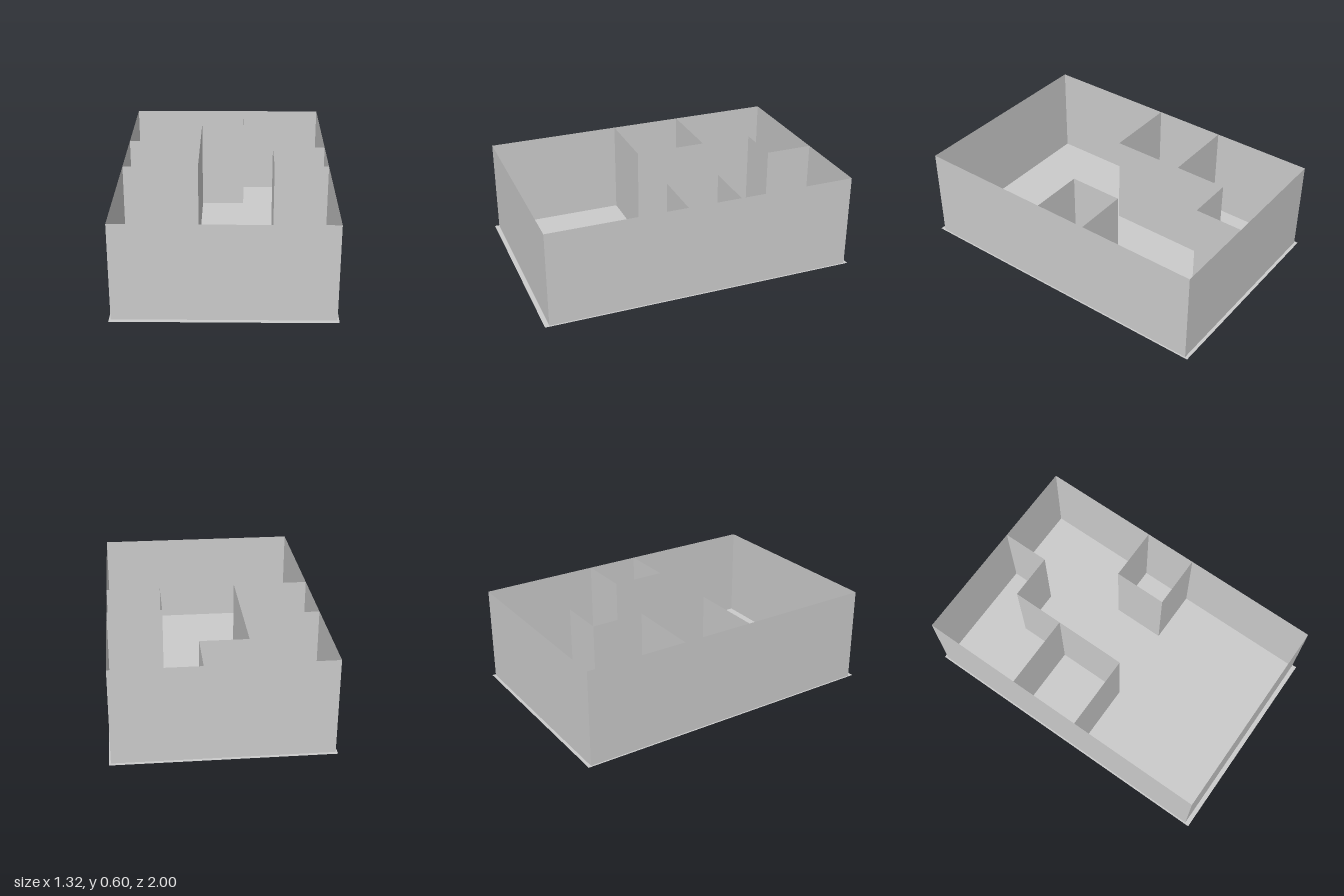
import * as THREE from 'three';

const HEIGHT = 0.603;
const material = new THREE.MeshStandardMaterial({ color: 0xcccccc, side: THREE.DoubleSide, flatShading: true });

// Thin upright panels that follow a list of [x, z] plan points.
function wallRun(name, points) {
  const run = new THREE.Group();
  run.name = name;
  for (let i = 0; i < points.length - 1; i++) {
    const [x1, z1] = points[i];
    const [x2, z2] = points[i + 1];
    const panel = new THREE.Mesh(new THREE.PlaneGeometry(Math.hypot(x2 - x1, z2 - z1), HEIGHT), material);
    panel.name = `${name}Panel${i + 1}`;
    panel.position.set((x1 + x2) / 2, HEIGHT / 2, (z1 + z2) / 2);
    panel.rotation.y = -Math.atan2(z2 - z1, x2 - x1);
    run.add(panel);
  }
  return run;
}

export function createModel() {
  const model = new THREE.Group();
  model.name = 'floorPlan';

  // Floor slab, slightly wider than the walls
  const floor = new THREE.Mesh(new THREE.PlaneGeometry(1.32, 2), material);
  floor.name = 'floor';
  floor.rotation.x = -Math.PI / 2;
  model.add(floor);

  const side = 0.65, front = 0.972, back = -0.98;

  // Outer shell
  model.add(wallRun('outerWall', [[-side, front], [side, front], [side, back], [-side, back], [-side, front]]));

  // Stepped partition from the -x side to the back wall
  model.add(wallRun('steppedPartition', [
    [-side, 0.12], [-0.175, 0.12], [-0.175, -0.675], [0.118, -0.675], [0.118, back],
  ]));

  // Cross wall closing off the middle room
  model.add(wallRun('crossWall', [[-side, -0.34], [-0.175, -0.34]]));

  // Small closet against the +x wall
  model.add(wallRun('closet', [[side, 0.106], [0.308, 0.106], [0.308, -0.233], [side, -0.233]]));

  return model;
}
